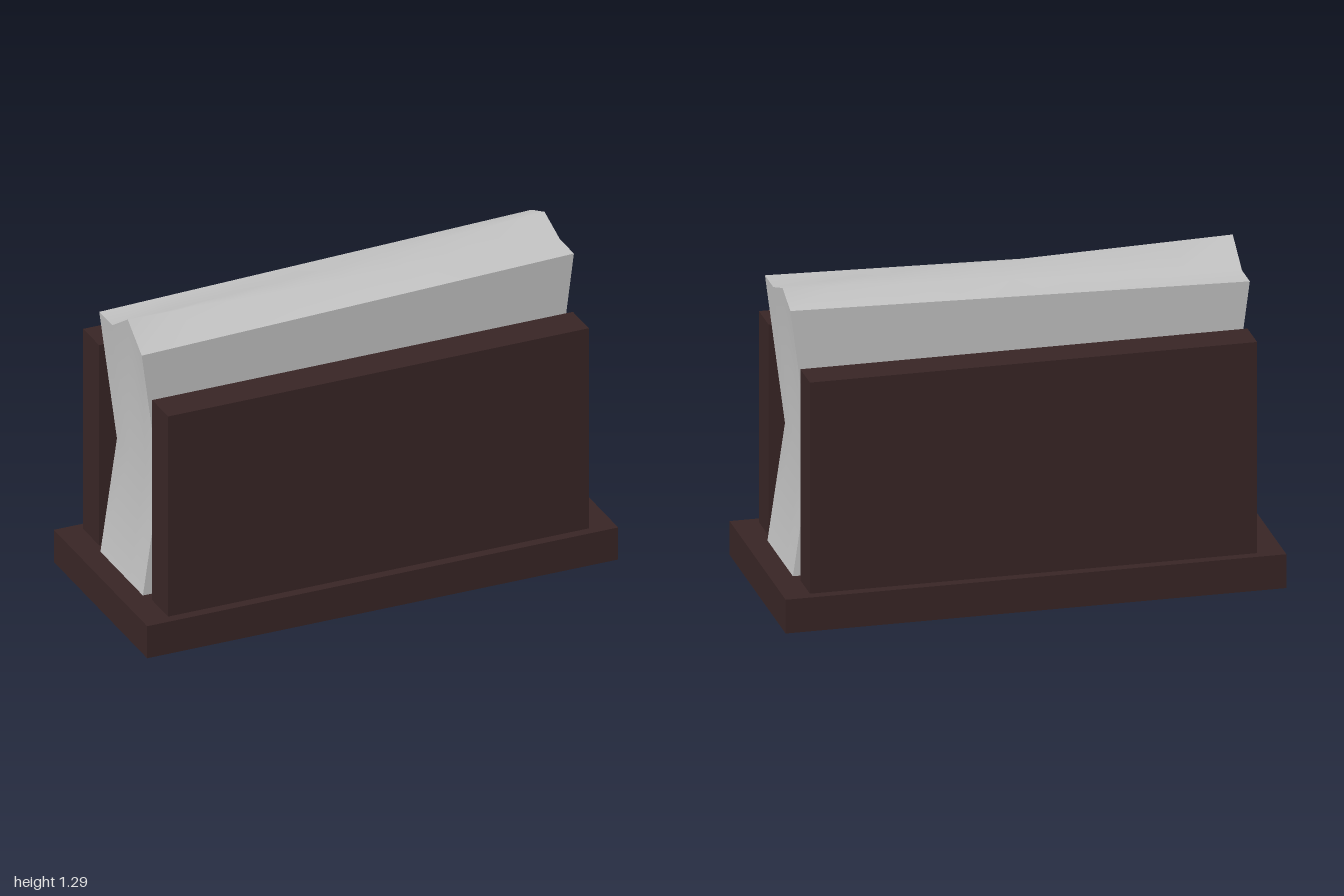
import * as THREE from 'three';

// Smooth grid surface; f(i, j) gives each corner, facing du x dv
function gridSurface(nu, nv, f) {
  const pos = [], index = [], w = nu + 1;
  for (let j = 0; j <= nv; j++) for (let i = 0; i <= nu; i++) pos.push(...f(i, j));
  for (let j = 0; j < nv; j++) for (let i = 0; i < nu; i++) {
    const a = j * w + i, b = a + 1, c = b + w, d = a + w;
    index.push(a, b, c, a, c, d);
  }
  const g = new THREE.BufferGeometry();
  g.setAttribute('position', new THREE.Float32BufferAttribute(pos, 3));
  g.setIndex(index);
  g.computeVertexNormals();
  return g;
}

export function createModel() {
  const group = new THREE.Group();
  const wood = new THREE.MeshStandardMaterial({ name: 'dark wood', color: 0x382525 });
  const paper = new THREE.MeshStandardMaterial({ name: 'pale grey', color: 0xc2c2c2 });

  const add = (name, geometry, material, x = 0, y = 0, z = 0) => {
    const mesh = new THREE.Mesh(geometry, material);
    mesh.name = name;
    mesh.position.set(x, y, z);
    group.add(mesh);
  };

  // Base and the two upright boards
  add('base', new THREE.BoxGeometry(2, 0.14, 0.88), wood, 0, 0.07, 0);
  for (const s of [1, -1]) {
    add(s > 0 ? 'frontBoard' : 'backBoard', new THREE.BoxGeometry(1.786, 0.875, 0.15), wood, 0, 0.5775, s * 0.325);
  }

  // Waisted stack between the boards, with a twisted uneven top
  const zs = [0.2, 0.068, -0.077, -0.2];
  const topLeft = [1.19, 1.285, 1.19, 1.19];
  const topRight = [1.24, 1.24, 1.29, 1.24];
  const xLeft = [-0.91, -0.84, -0.915];
  const xRight = [0.91, 0.84, 0.92];
  const n = 8;
  // t: 0 left to 1 right, row: 0 bottom to 2 top, k: 0 front to 3 back
  const point = (t, row, k) => [
    THREE.MathUtils.lerp(xLeft[row], xRight[row], t),
    [0.14, 0.62, THREE.MathUtils.lerp(topLeft[k], topRight[k], t)][row],
    zs[k],
  ];
  add('stackFront', gridSurface(n, 2, (i, j) => point(i / n, j, 0)), paper);
  add('stackBack', gridSurface(n, 2, (i, j) => point(1 - i / n, j, 3)), paper);
  add('stackLeftEnd', gridSurface(3, 2, (i, j) => point(1, j, i)), paper);
  add('stackRightEnd', gridSurface(3, 2, (i, j) => point(0, j, 3 - i)), paper);
  add('stackTop', gridSurface(n, 3, (i, j) => point(i / n, 2, j)), paper);

  return group;
}
